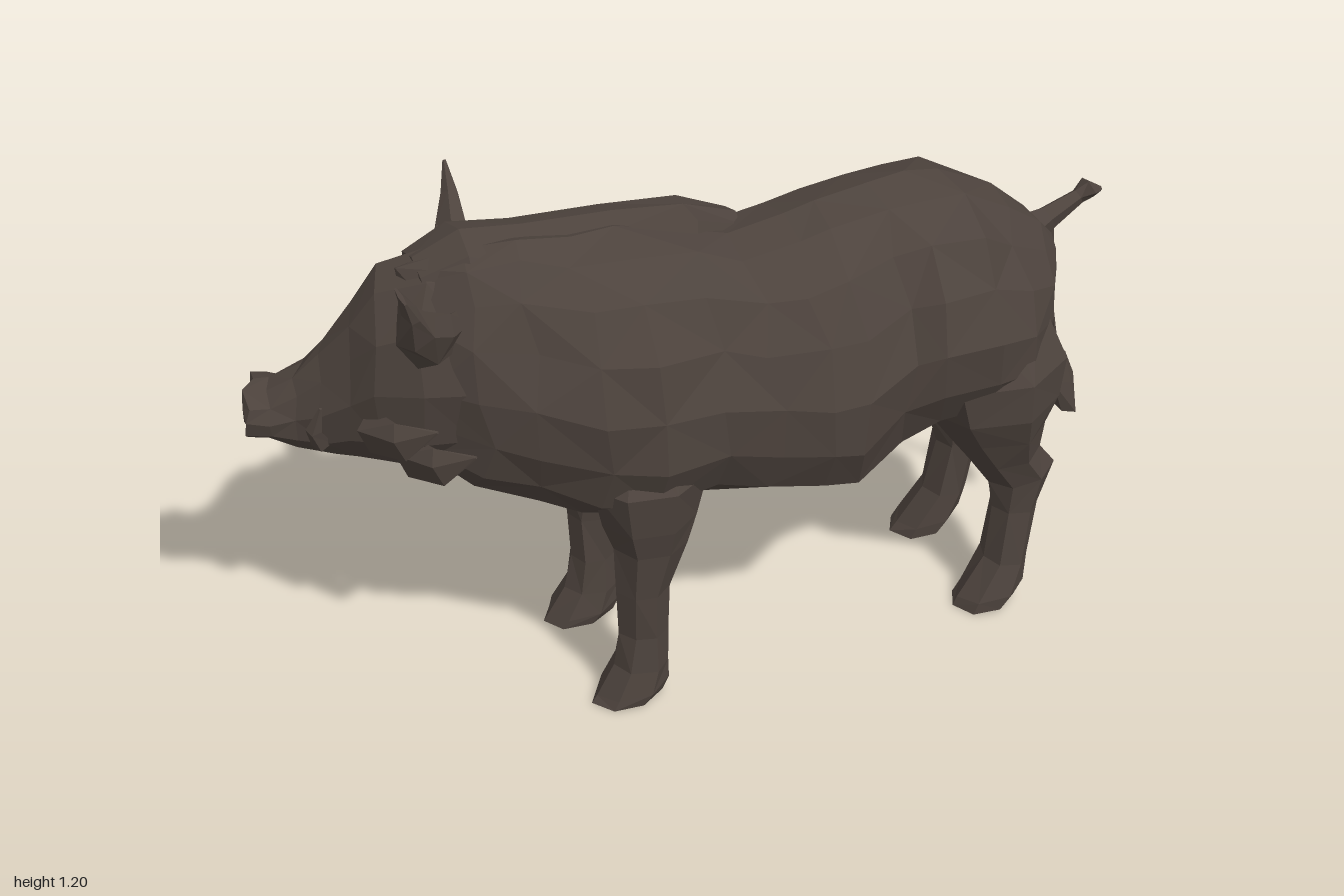
import * as THREE from 'three';

const hide = new THREE.MeshStandardMaterial({ color: 0x4d433d, flatShading: true, side: THREE.DoubleSide });
hide.name = 'dark brown hide';

// Small seeded generator for the uneven, faceted hide
let seed = 7;
const rand = () => {
  seed = (seed * 16807) % 2147483647;
  return seed / 2147483647 - 0.5;
};

// Skin closed rings of points, capping both ends
function skin(rings, name) {
  const n = rings[0].length, pos = rings.flat().flat(), idx = [];
  for (let i = 0; i < rings.length - 1; i++) {
    for (let j = 0; j < n; j++) {
      const a = i * n + j, b = i * n + (j + 1) % n;
      if ((i + j) % 2) idx.push(a, a + n, b, b, a + n, b + n);
      else idx.push(a, a + n, b + n, a, b + n, b);
    }
  }
  [0, rings.length - 1].forEach((r) => {
    const c = pos.length / 3;
    for (let k = 0; k < 3; k++) pos.push(rings[r].reduce((s, p) => s + p[k], 0) / n);
    for (let j = 0; j < n; j++) {
      const a = r * n + j, b = r * n + (j + 1) % n;
      idx.push(...(r ? [c, b, a] : [c, a, b]));
    }
  });
  const g = new THREE.BufferGeometry();
  g.setAttribute('position', new THREE.Float32BufferAttribute(pos, 3));
  g.setIndex(idx);
  g.computeVertexNormals();
  const m = new THREE.Mesh(g, hide);
  m.name = name;
  return m;
}

// Sections along x: [x, bottom, top, half width, z centre]; egg makes the lower half wider
function loftX(name, sections, sides, egg = 0, rough = 0) {
  return skin(sections.map(([x, lo, hi, w, zc = 0]) => Array.from({ length: sides }, (_, j) => {
    const t = j / sides * Math.PI * 2, c = Math.cos(t);
    return [x + rand() * rough * 2, (lo + hi) / 2 + (hi - lo) / 2 * c + rand() * rough * 0.6,
      zc - Math.sin(t) * w * (1 - egg * c) + rand() * rough];
  })), name);
}

// Sections going down: [y, back x, front x, inner z, outer z, slope of the ring]
function loftY(name, sections, sides, side, rough = 0.007) {
  return skin(sections.map(([y, x0, x1, z0, z1, slope = 0]) => Array.from({ length: sides }, (_, j) => {
    const t = (j + 0.5) / sides * Math.PI * 2;
    const dx = (x1 - x0) / 2 * Math.cos(t) * 1.06;
    return [(x0 + x1) / 2 + dx + rand() * rough, Math.max(0, y + slope * dx),
      0.035 + side * ((z0 + z1) / 2 + (z1 - z0) / 2 * Math.sin(side * t) * 1.06) + rand() * rough];
  })), name);
}

// Tapered path of points [x, y, z, radius across y, radius across z]
function limb(name, pts, sides = 5) {
  return skin(pts.map(([x, y, z, a, b], i) => {
    const p = pts[Math.max(i - 1, 0)], q = pts[Math.min(i + 1, pts.length - 1)];
    const d = new THREE.Vector3(q[0] - p[0], q[1] - p[1], q[2] - p[2]).normalize();
    const u = new THREE.Vector3(-d.y, d.x, 0).normalize();
    const v = new THREE.Vector3().crossVectors(d, u);
    return Array.from({ length: sides }, (_, j) => {
      const t = -j / sides * Math.PI * 2, s = Math.sin(t) * b, c = Math.cos(t) * a;
      return [x + u.x * c + v.x * s, y + u.y * c + v.y * s, z + u.z * c + v.z * s];
    });
  }), name);
}

export function createModel() {
  const model = new THREE.Group();
  model.name = 'boar';

  // Barrel body from neck to rump
  model.add(loftX('body', [
    [-0.66, 0.64, 1.1, 0.12, -0.04], [-0.56, 0.57, 1.155, 0.165, 0.01], [-0.45, 0.525, 1.16, 0.185, 0.035],
    [-0.33, 0.47, 1.145, 0.245, 0.04], [-0.2, 0.455, 1.14, 0.28, 0.035], [-0.06, 0.46, 1.11, 0.25, 0.035],
    [0.06, 0.45, 1.075, 0.28, 0.037], [0.17, 0.42, 1.09, 0.312, 0.037], [0.27, 0.4, 1.11, 0.312, 0.037],
    [0.39, 0.46, 1.12, 0.255, 0.035], [0.47, 0.51, 1.125, 0.29, 0.035], [0.58, 0.53, 1.12, 0.308, 0.033],
    [0.7, 0.53, 1.05, 0.255, 0.033], [0.79, 0.55, 0.975, 0.175, 0.035], [0.845, 0.66, 0.915, 0.09, 0.035],
  ], 16, 0.17, 0.018));

  // Raised mane along the shoulders
  model.add(loftX('mane', [
    [-0.64, 1.0, 1.12, 0.09, -0.05], [-0.54, 1.04, 1.172, 0.11, -0.03], [-0.4, 1.04, 1.164, 0.09, -0.02],
    [-0.2, 1.04, 1.152, 0.085, -0.02], [-0.02, 1.03, 1.128, 0.08, -0.025], [0.1, 1.02, 1.07, 0.06, -0.04],
  ], 8, 0, 0.01));

  // Head, turned to one side
  const head = new THREE.Group();
  head.name = 'head';
  head.position.set(-0.5, 0, 0);
  head.rotation.y = -0.48;
  head.add(loftX('skull', [
    [-0.535, 0.665, 0.765, 0.07], [-0.525, 0.645, 0.785, 0.092], [-0.48, 0.645, 0.785, 0.082],
    [-0.42, 0.62, 0.83, 0.08], [-0.35, 0.605, 0.895, 0.09], [-0.285, 0.605, 0.99, 0.115],
    [-0.22, 0.605, 1.085, 0.155], [-0.11, 0.6, 1.135, 0.18], [-0.02, 0.62, 1.13, 0.17], [0.07, 0.66, 1.09, 0.13],
  ], 12, 0.1, 0.012));
  for (const s of [1, -1]) {
    head.add(limb('tusk', [[-0.36, 0.67, s * 0.08, 0.024, 0.02], [-0.37, 0.72, s * 0.105, 0.018, 0.016],
      [-0.35, 0.78, s * 0.105, 0.004, 0.004]], 4));
    // Shaggy cheek tufts
    for (const [x, y] of [[-0.2, 0.74], [-0.12, 0.68]])
      head.add(limb('cheekTuft', [[x - 0.03, y, s * 0.11, 0.06, 0.05], [x + 0.04, y + 0.01, s * 0.175, 0.05, 0.025],
        [x + 0.12, y + 0.05, s * 0.19, 0.004, 0.004]], 5));
  }
  model.add(head);

  // Leaf-shaped ears, one swung forward and one out to the side
  model.add(limb('leftEar', [[-0.58, 0.99, 0.06, 0.05, 0.03], [-0.65, 1.01, 0.12, 0.07, 0.04],
    [-0.7, 1.07, 0.16, 0.05, 0.045], [-0.72, 1.14, 0.19, 0.018, 0.04], [-0.74, 1.188, 0.205, 0.005, 0.03]], 6));
  model.add(limb('rightEar', [[-0.53, 0.99, -0.11, 0.05, 0.045], [-0.5, 1.0, -0.21, 0.05, 0.05],
    [-0.48, 1.04, -0.28, 0.035, 0.05], [-0.465, 1.1, -0.32, 0.02, 0.025], [-0.46, 1.16, -0.36, 0.004, 0.004]], 6));

  for (const s of [1, -1]) {
    const side = s > 0 ? 'left' : 'right';
    // Front leg with shoulder and hoof
    model.add(loftY(side + 'FrontLeg', [
      [0.7, -0.28, -0.12, 0.1, 0.2], [0.6, -0.33, -0.08, 0.08, 0.26], [0.49, -0.31, -0.1, 0.07, 0.25],
      [0.42, -0.285, -0.12, 0.09, 0.235], [0.3, -0.28, -0.16, 0.105, 0.22], [0.18, -0.275, -0.165, 0.105, 0.215],
      [0.09, -0.29, -0.165, 0.1, 0.22], [0.03, -0.335, -0.165, 0.097, 0.23, 0.15], [0, -0.345, -0.18, 0.105, 0.225, 0.1],
    ], 7, s));
    // Hind leg with thigh, hock and hoof
    model.add(loftY(side + 'HindLeg', [
      [0.86, 0.5, 0.75, 0.08, 0.2], [0.68, 0.46, 0.82, 0.02, 0.285], [0.58, 0.495, 0.81, 0.015, 0.285],
      [0.5, 0.55, 0.79, 0.03, 0.255], [0.42, 0.62, 0.785, 0.06, 0.23, 0.1], [0.35, 0.675, 0.83, 0.08, 0.215, 0.25],
      [0.26, 0.685, 0.79, 0.09, 0.21], [0.12, 0.665, 0.77, 0.095, 0.22], [0.04, 0.6, 0.755, 0.1, 0.235, 0.2],
      [0.005, 0.585, 0.73, 0.105, 0.23, 0.1],
    ], 7, s));
  }

  // Upturned tail root, hanging tail and tuft
  model.add(limb('tailRoot', [[0.78, 0.89, 0.035, 0.06, 0.06], [0.86, 0.93, 0.035, 0.03, 0.03],
    [0.94, 0.965, 0.03, 0.018, 0.02], [0.965, 0.985, 0.035, 0.015, 0.04], [0.995, 0.975, 0.035, 0.006, 0.008]]));
  model.add(limb('tail', [[0.85, 0.92, 0.035, 0.028, 0.025], [0.88, 0.8, 0.03, 0.012, 0.012],
    [0.89, 0.68, 0.03, 0.009, 0.01], [0.91, 0.58, 0.03, 0.008, 0.008], [0.935, 0.52, 0.03, 0.008, 0.008]], 4));
  model.add(limb('tailTuft', [[0.935, 0.54, 0.03, 0.008, 0.01], [0.935, 0.47, 0.03, 0.036, 0.035],
    [0.945, 0.395, 0.03, 0.024, 0.06]], 5));
  return model;
}
